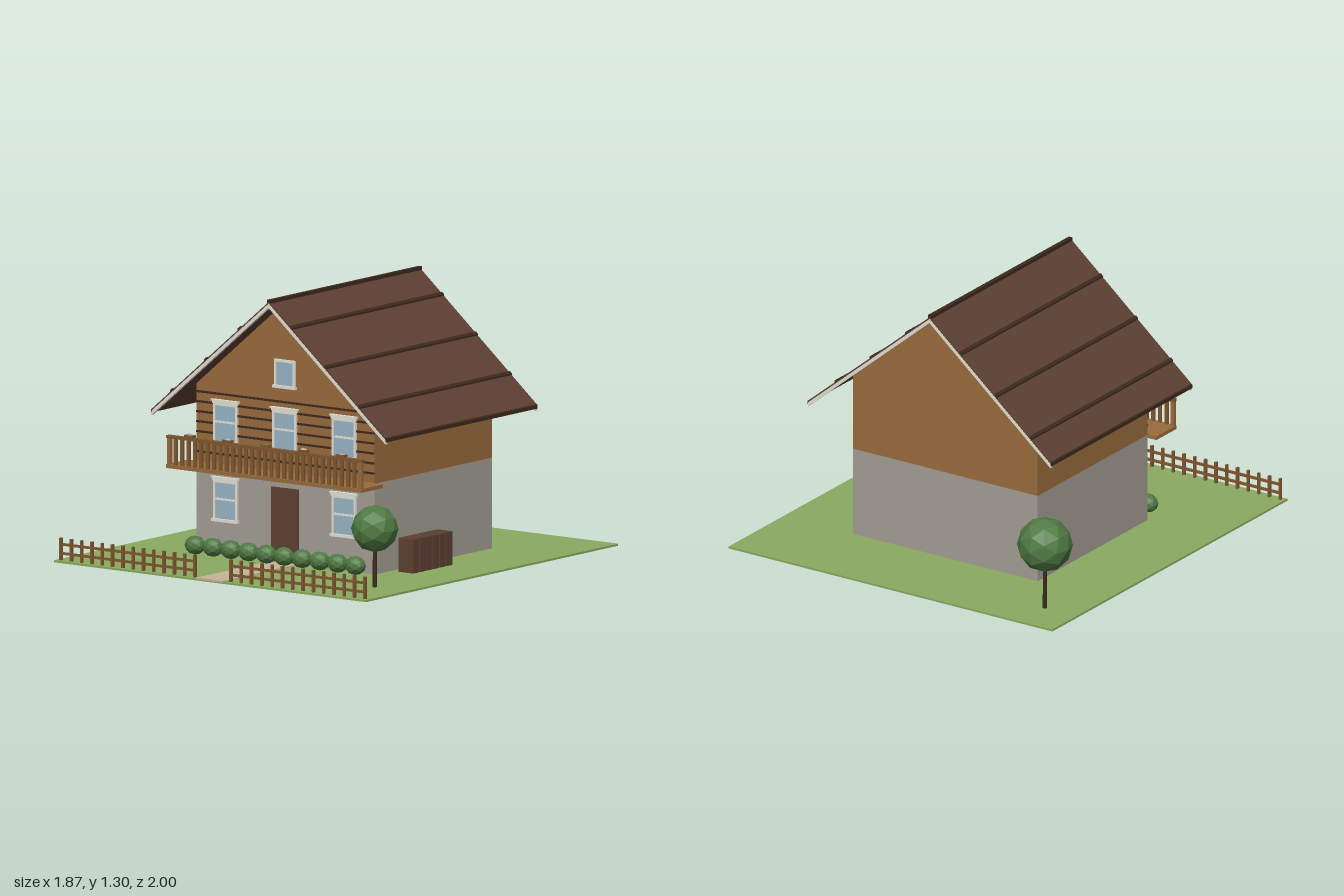
import * as THREE from 'three';

const paint = (name, color) => {
  const m = new THREE.MeshStandardMaterial({ color });
  m.name = name;
  return m;
};

export function createModel() {
  const model = new THREE.Group();
  model.name = 'chalet';
  const stone = paint('stone', 0xa39e93);
  const timber = paint('timber', 0x986b3c);
  const roofing = paint('roof brown', 0x5d4032);
  const dark = paint('dark wood', 0x3e2a1e);
  const trim = paint('white trim', 0xe4e0d6);
  const glass = paint('glass', 0x98b4c6);
  const grass = paint('grass', 0x8aab60);
  const gravel = paint('gravel', 0xc4b498);
  const leaf = paint('foliage', 0x4f7a42);
  const fenceWood = paint('fence wood', 0x80572f);
  leaf.flatShading = true;

  const group = (name, parent = model) => {
    const g = new THREE.Group();
    g.name = name;
    parent.add(g);
    return g;
  };
  const add = (parent, name, geo, mat, x = 0, y = 0, z = 0) => {
    const m = new THREE.Mesh(geo, mat);
    m.name = name;
    m.position.set(x, y, z);
    parent.add(m);
    return m;
  };
  // Box given by its limits on each axis
  const box = (parent, name, mat, x0, x1, y0, y1, z0, z1) =>
    add(parent, name, new THREE.BoxGeometry(x1 - x0, y1 - y0, z1 - z0), mat,
      (x0 + x1) / 2, (y0 + y1) / 2, (z0 + z1) / 2);
  // Outline in x and y, extruded between two z positions
  const prism = (parent, name, mat, pts, z0, z1) => {
    const shape = new THREE.Shape(pts.map(p => new THREE.Vector2(...p)));
    const geo = new THREE.ExtrudeGeometry(shape, { depth: z1 - z0, bevelEnabled: false });
    return add(parent, name, geo, mat, 0, 0, z0);
  };

  // Plot
  box(model, 'lawn', grass, -0.935, 0.935, 0, 0.01, -1, 1);
  box(model, 'path', gravel, -0.08, 0.08, 0.005, 0.014, 0.4, 1);

  // House walls
  const APEX = 1.278, SLOPE = 0.843;
  const W = 0.533, FRONT = 0.4, BACK = -0.533;
  const house = group('house');
  box(house, 'stoneFloor', stone, -W, W, 0.01, 0.45, BACK, FRONT);
  const eave = APEX - W * SLOPE;
  prism(house, 'timberFloor', timber,
    [[-W, 0.45], [W, 0.45], [W, eave], [0, APEX], [-W, eave]], BACK, FRONT);
  for (let i = 0; i < 7; i++) {
    const y = 0.5 + i * 0.0485;
    box(house, 'logGroove', dark, -W, W, y - 0.005, y + 0.005, FRONT, FRONT + 0.005);
  }
  box(house, 'door', roofing, -0.08, 0.08, 0.01, 0.375, FRONT, FRONT + 0.008);

  // Roof: pieces follow the slope, lo and hi are heights above the wall line
  const roof = group('roof');
  const sloped = (name, mat, s, x0, x1, lo, hi, z0, z1) => {
    const y = x => APEX - x * SLOPE;
    prism(roof, name, mat, [[s * x0, y(x0) + lo], [s * x1, y(x1) + lo],
      [s * x1, y(x1) + hi], [s * x0, y(x0) + hi]], z0, z1);
  };
  const RB = -0.667, RF = 0.533;
  for (const s of [-1, 1]) {
    sloped('roofSlab', roofing, s, 0, 0.7, 0.002, 0.018, RB, RF);
    for (const z of [RB - 0.002, RF - 0.016])
      sloped('bargeBoard', trim, s, 0, 0.7, -0.012, 0.009, z, z + 0.018);
    const ribs = s > 0 ? [0.137, 0.34, 0.543] : [0.18, 0.383, 0.586];
    for (const x of ribs) sloped('roofRib', dark, s, x - 0.006, x + 0.006, 0.015, 0.027, RB, RF);
    sloped('eaveEdge', dark, s, 0.698, 0.704, 0.002, 0.019, RB, RF);
  }
  box(roof, 'ridgeCap', dark, -0.01, 0.01, 1.285, 1.305, RB, RF);

  // Windows
  const windowAt = (x, y0, y1, hw, lintel) => {
    const w = group('window');
    const z = FRONT;
    box(w, 'pane', glass, x - hw, x + hw, y0, y1, z, z + 0.006);
    for (const s of [-1, 1])
      box(w, 'jamb', trim, x + s * hw - 0.006, x + s * hw + 0.006, y0, y1, z, z + 0.011);
    box(w, 'header', trim, x - hw - 0.006, x + hw + 0.006, y1 - 0.008, y1 + 0.005, z, z + 0.011);
    box(w, 'sill', trim, x - hw - 0.012, x + hw + 0.012, y0 - 0.012, y0 + 0.002, z, z + 0.018);
    if (!lintel) return;
    const mid = (y0 + y1) / 2 + 0.005;
    box(w, 'crossbar', trim, x - hw, x + hw, mid - 0.005, mid + 0.005, z, z + 0.01);
    box(w, 'lintel', trim, x - hw - 0.01, x + hw + 0.01, y1, y1 + 0.014, z, z + 0.014);
    box(w, 'cornice', trim, x - hw - 0.016, x + hw + 0.016, y1 + 0.013, y1 + 0.021, z, z + 0.018);
  };
  for (const x of [-0.355, 0.355]) windowAt(x, 0.185, 0.37, 0.066, true);
  for (const x of [-0.355, 0, 0.355]) windowAt(x, 0.56, 0.744, 0.066, true);
  windowAt(0, 0.87, 0.992, 0.056, false);

  // Balcony with flower bowls on the rail
  const balcony = group('balcony');
  box(balcony, 'balconyFloor', timber, -0.585, 0.585, 0.435, 0.453, FRONT, 0.572);
  box(balcony, 'handRail', fenceWood, -0.585, 0.585, 0.58, 0.594, 0.547, 0.573);
  for (const x of [-0.573, 0.573])
    box(balcony, 'balconyPost', timber, x - 0.01, x + 0.01, 0.45, 0.585, 0.552, 0.57);
  for (let i = 0; i < 29; i++) {
    const x = -0.535 + i * 1.07 / 28;
    box(balcony, 'baluster', fenceWood, x - 0.009, x + 0.009, 0.45, 0.582, 0.556, 0.567);
  }
  const blooms = [stone, glass, leaf, gravel, stone];
  blooms.forEach((mat, i) => {
    const x = (i - 2) * 0.227;
    box(balcony, 'planter', fenceWood, x - 0.026, x + 0.026, 0.593, 0.606, 0.545, 0.57);
    const b = add(balcony, 'bloom', new THREE.IcosahedronGeometry(0.02, 1), mat, x, 0.604, 0.557);
    b.scale.set(1, 0.45, 0.6);
  });

  // Bushes and trees
  const garden = group('garden');
  for (let i = 0; i < 10; i++) {
    const b = add(garden, 'bush', new THREE.IcosahedronGeometry(0.053, 1), leaf,
      -0.48 + i * 0.1067, 0.06, 0.482);
    b.scale.set(1, 0.87, 0.87);
  }
  const tree = (x, z, y, r) => {
    const t = group('tree', garden);
    add(t, 'trunk', new THREE.CylinderGeometry(0.009, 0.011, y - 0.01, 8), dark, x, y / 2 + 0.005, z);
    add(t, 'crown', new THREE.IcosahedronGeometry(r, 1), leaf, x, y, z);
  };
  tree(-0.75, -0.79, 0.337, 0.134);
  tree(0.745, 0.678, 0.293, 0.114);

  // Slatted wood store beside the house
  const store = group('woodStore');
  box(store, 'storeCore', dark, 0.58, 0.66, 0.01, 0.168, -0.038, 0.265);
  for (let i = 0; i < 6; i++) {
    const z = -0.042 + i * 0.0525;
    box(store, 'slat', roofing, 0.575, 0.665, 0.01, 0.174, z, z + 0.046);
  }

  // Picket fence either side of the path
  const fence = group('fence');
  for (const s of [-1, 1]) {
    for (const y of [0.043, 0.087])
      box(fence, 'fenceRail', fenceWood, s * 0.508 - 0.403, s * 0.508 + 0.403, y - 0.006, y + 0.006, 0.969, 0.979);
    for (let i = 0; i < 14; i++) {
      const x = s * (0.108 + i * 0.0617);
      box(fence, 'picket', fenceWood, x - 0.006, x + 0.006, 0.01, 0.118, 0.968, 0.982);
    }
  }
  return model;
}
